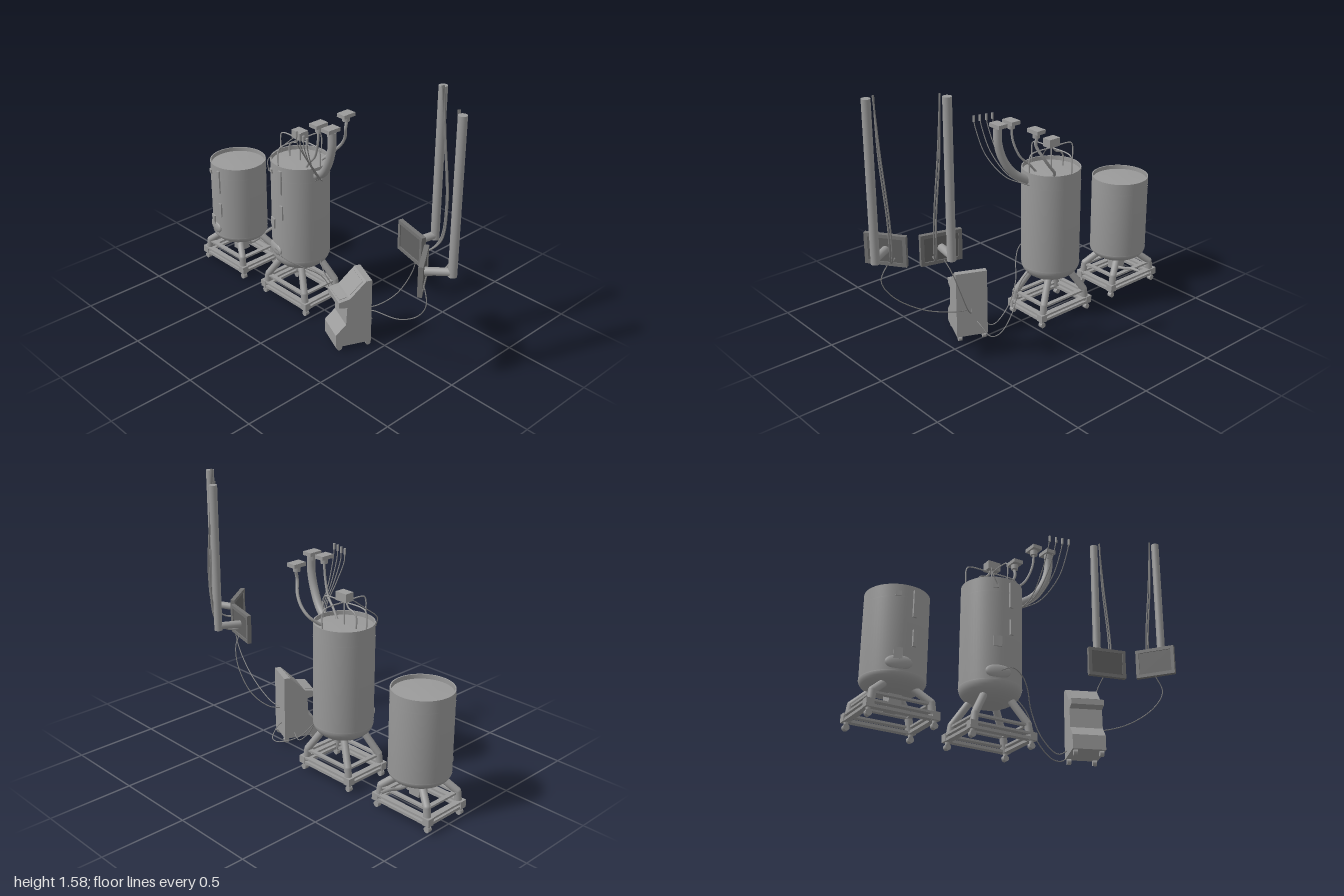
import * as THREE from 'three';
import { toCreasedNormals } from 'three/addons/utils/BufferGeometryUtils.js';

const paint = (color) => new THREE.MeshStandardMaterial({ color, side: THREE.DoubleSide });
const steel = paint(0x9a9a9a), bezelGrey = paint(0x727272), screenGrey = paint(0x606060), cableGrey = paint(0x808080);
const V = (p) => new THREE.Vector3(...p);

function add(parent, name, geometry, pos = [0, 0, 0], rotY = 0, material = steel) {
  const mesh = new THREE.Mesh(geometry, material);
  mesh.name = name;
  mesh.position.set(...pos);
  mesh.rotation.y = rotY;
  parent.add(mesh);
  return mesh;
}
const box = (parent, name, size, pos, rotY, material) =>
  add(parent, name, new THREE.BoxGeometry(...size), pos, rotY, material);
const cyl = (parent, name, r, h, pos) => add(parent, name, new THREE.CylinderGeometry(r, r, h, 24), pos);
function tube(parent, name, r, points, material = steel) {
  const curve = new THREE.CatmullRomCurve3(points.map(V), false, 'centripetal');
  return add(parent, name, new THREE.TubeGeometry(curve, 50, r, r > 0.01 ? 20 : 8), [0, 0, 0], 0, material);
}
// straight bars with rounded joints through a list of points
function kinkedBar(parent, name, r, points) {
  const g = group(parent, name, [0, 0, 0]);
  for (let i = 1; i < points.length; i++) {
    add(g, 'barSection', new THREE.TubeGeometry(new THREE.LineCurve3(V(points[i - 1]), V(points[i])), 1, r, 20));
    add(g, 'barJoint', new THREE.SphereGeometry(r, 20, 12), points[i]);
  }
}
function group(parent, name, pos, rotY = 0) {
  const g = new THREE.Group();
  g.name = name;
  g.position.set(...pos);
  g.rotation.y = rotY;
  parent.add(g);
  return g;
}

// vessel on a castor frame; bottom = lowest point of the dished end
function tank(root, name, z, bottom, shoulder, band, top) {
  const g = group(root, name, [0.012, 0, z]);
  const R = 0.172;
  const profile = [];
  for (let i = 0; i <= 12; i++) {
    const a = (i / 12) * Math.PI / 2;
    profile.push(new THREE.Vector2(R * Math.sin(a), shoulder - (shoulder - bottom) * Math.cos(a)));
  }
  [[R, top], [R - 0.007, top], [R - 0.007, top - 0.025], [0.08, top - 0.02], [0, top - 0.018]]
    .forEach(([r, y]) => profile.push(new THREE.Vector2(r, y)));
  add(g, 'vessel', toCreasedNormals(new THREE.LatheGeometry(profile, 64), 0.6));
  for (const y of [band, shoulder]) {
    add(g, 'seamBand', new THREE.CylinderGeometry(R + 0.0015, R + 0.0015, 0.005, 64, 1, true), [0, y, 0]);
  }

  // frame: paired lower rails, flat upper rails, kinked legs, corner blocks, castors
  const drop = shoulder - 0.335;
  for (const s of [-1, 1]) {
    for (const [y, h] of [[0.081, 0.012], [0.053, 0.016]]) {
      box(g, 'lowerSideRail', [0.034, h, 0.39], [s * 0.134, y, 0]);
      box(g, 'lowerEndRail', [0.236, h, 0.034], [0, y, s * 0.181]);
    }
    box(g, 'upperSideRail', [0.026, 0.012, 0.34], [s * 0.122, 0.13, 0]);
    box(g, 'upperEndRail', [0.22, 0.012, 0.026], [0, 0.13, s * 0.157]);
    for (const t of [-1, 1]) {
      kinkedBar(g, 'leg', 0.021, [[s * 0.127, 0.06, t * 0.172], [s * 0.124, 0.138, t * 0.162],
        [s * 0.075, 0.27 + drop * 0.75, t * 0.083], [s * 0.068, 0.31 + drop, t * 0.074]]);
      box(g, 'cornerBlock', [0.042, 0.044, 0.042], [s * 0.132, 0.066, t * 0.181]);
      cyl(g, 'castorStem', 0.012, 0.03, [s * 0.13, 0.036, t * 0.18]);
      const wheel = cyl(g, 'castorWheel', 0.017, 0.026, [s * 0.13, 0.017, t * 0.18]);
      wheel.rotation.z = Math.PI / 2;
    }
  }

  // fittings on the right side: a is the angle away from -x towards +z
  const fit = (part, a, y, h, w, d) =>
    box(g, part, [d, h, w], [-Math.cos(a) * R, y, Math.sin(a) * R], a);
  const low = top - 0.935;
  fit('sightGlass', 0.12, 0.835 + low, 0.15, 0.022, 0.022);
  fit('lowerGauge', 0.15, 0.645 + low, 0.09, 0.022, 0.022);
  fit('controlPlate', -0.32, 0.55 + low, 0.06, 0.045, 0.016);
  fit('samplePort', -0.4, 0.88 + low, 0.025, 0.03, 0.016);
  const a = -0.28;
  const hatch = add(g, 'hatch', new THREE.SphereGeometry(1, 32, 16),
    [-R * 0.95 * Math.cos(a), shoulder + 0.045, R * 0.95 * Math.sin(a)], a);
  hatch.scale.set(0.018, 0.04, 0.07);
  return g;
}

// screen hanging from a ceiling pole; side = where its leads hang
function hangingScreen(root, name, pos, rotY, side) {
  const g = group(root, name, pos, rotY);
  const [w, h] = [0.235, 0.177];
  box(g, 'screenPanel', [w - 0.02, h - 0.02, 0.014], [0, 0, 0], 0, screenGrey);
  for (const s of [-1, 1]) {
    box(g, 'bezelSide', [0.02, h, 0.026], [s * (w / 2 - 0.01), 0, 0], 0, bezelGrey);
    box(g, 'bezelEdge', [w - 0.04, 0.02, 0.026], [0, s * (h / 2 - 0.01), 0], 0, bezelGrey);
  }
  kinkedBar(g, 'arm', 0.022, [[0, 0, 0.005], [0, 0.012, 0.15]]);
  cyl(g, 'pole', 0.0242, 0.885, [0, 0.43, 0.15]);
  for (const k of [0, 1]) {
    tube(g, 'poleCable', 0.005, [[side * 0.03, 0.885, 0.125 + k * 0.008], [side * (0.045 + k * 0.01), 0.6, 0.145],
      [side * (0.08 + k * 0.012), 0.23, 0.155], [side * (0.075 + k * 0.012), 0.02, 0.13],
      [side * 0.055, -0.04, 0.07], [side * (0.03 + k * 0.02), -0.045, 0.005]], cableGrey);
  }
}

export function createModel() {
  const root = new THREE.Group();
  root.name = 'processPlant';

  const main = tank(root, 'tallTank', -0.217, 0.235, 0.335, 0.85, 0.935);
  const second = tank(root, 'shortTank', -0.795, 0.18, 0.255, 0.66, 0.73);

  // outlet under the short tank
  box(second, 'outletBlock', [0.07, 0.09, 0.07], [0, 0.145, 0.005]);
  tube(second, 'outletPipe', 0.009, [[0.02, 0.2, 0.055], [0.03, 0.145, 0.055], [0.1, 0.148, 0.055],
    [0.17, 0.17, 0.055], [0.243, 0.18, 0.055]]);

  // arched pipes and junction box over the tall tank
  for (let i = 0; i < 4; i++) {
    const pipe = tube(main, 'archedPipe', 0.004, [[0.166, 0.9, 0], [0.168, 0.95, 0], [0.168, 1.01, 0],
      [0.158, 1.036, 0], [0.13, 1.046, 0], [0, 1.046, 0]]);
    pipe.rotation.y = i * Math.PI / 2;
  }
  box(main, 'junctionBox', [0.058, 0.05, 0.078], [0, 1.08, 0]);
  tube(main, 'centrePipe', 0.004, [[0, 0.91, 0], [0, 1.06, 0]]);
  tube(main, 'lidPipe', 0.005, [[0, 1.06, -0.01], [0, 1.02, -0.03], [0, 1.005, -0.07], [0, 0.98, -0.09], [0, 0.91, -0.09]]);
  tube(main, 'lidCable', 0.003, [[-0.03, 1.06, -0.02], [-0.1, 1.0, -0.06], [-0.165, 0.94, -0.09], [-0.178, 0.88, -0.07]], cableGrey);

  // ceiling terminals with their pipes
  for (const [x, z] of [[-0.062, 0.02], [-0.062, 0.115], [0.145, 0.02]]) {
    box(root, 'ceilingPlate', [0.085, 0.022, 0.06], [x, 1.234, z]);
    cyl(root, 'ceilingNeck', 0.021, 0.03, [x, 1.21, z]);
  }
  tube(root, 'mainDuct', 0.024, [[-0.06, 1.22, 0.122], [-0.058, 1.13, 0.12], [-0.052, 1.03, 0.09],
    [-0.035, 0.94, 0.03], [-0.01, 0.88, -0.06]]);
  tube(root, 'branchPipe', 0.007, [[-0.062, 1.21, 0.02], [-0.06, 1.12, 0.01], [-0.045, 1.02, -0.03],
    [-0.03, 0.96, -0.09], [-0.02, 0.91, -0.13]]);
  tube(root, 'feedPipe', 0.009, [[0.152, 1.2, 0.02], [0.142, 1.15, 0.02], [0.168, 1.08, -0.01],
    [0.178, 1.02, -0.05], [0.165, 0.965, -0.1], [0.11, 0.915, -0.14]]);

  // four plugged sensor cables
  for (let i = 0; i < 4; i++) {
    const x = -0.225 - i * 0.009, z = 0.02 + i * 0.038;
    cyl(root, 'cablePlug', 0.007, 0.035, [x, 1.228, z]);
    tube(root, 'sensorCable', 0.003, [[x, 1.22, z], [x + 0.01, 1.17, z - 0.005], [x + 0.07, 1.06 - i * 0.012, z * 0.8],
      [-0.07, 0.94 - i * 0.01, z * 0.4], [-0.03 + i * 0.012, 0.865, -0.035], [-0.02 + i * 0.015, 0.85, -0.06]], cableGrey);
  }

  hangingScreen(root, 'rearScreen', [0.058, 0.698, 0.617], 1.3, -1);
  hangingScreen(root, 'frontScreen', [-0.11, 0.698, 0.852], 0.6, 1);

  // operator console, extruded from its side profile
  const desk = group(root, 'console', [-0.114, 0, 0.315], Math.PI - 0.41);
  const outline = [[0, 0.03], [0.213, 0.03], [0.213, 0.11], [0.152, 0.17], [0.146, 0.28], [0.195, 0.29],
    [0.195, 0.322], [0.13, 0.335], [0.035, 0.43], [0, 0.43]];
  const shape = new THREE.Shape(outline.map(([u, y]) => new THREE.Vector2(u - 0.1065, y)));
  add(desk, 'cabinet', new THREE.ExtrudeGeometry(shape, { depth: 0.182, bevelEnabled: false }), [0, 0, -0.091]);
  const display = box(desk, 'display', [0.1, 0.005, 0.135], [-0.024, 0.3825, 0]);
  display.rotation.z = -0.785;
  const keys = box(desk, 'keyboard', [0.045, 0.005, 0.13], [0.056, 0.329, 0]);
  keys.rotation.z = -0.2;
  for (const u of [-0.093, 0.08]) for (const z of [-0.072, 0.072]) {
    const wheel = cyl(desk, 'castor', 0.016, 0.022, [u, 0.016, z]);
    wheel.rotation.x = Math.PI / 2;
  }

  // loose cables between screens, console and tank
  const loose = [
    [[-0.1, 0.62, 0.85], [-0.115, 0.52, 0.89], [-0.1, 0.41, 0.83], [-0.06, 0.28, 0.65], [-0.02, 0.21, 0.43], [-0.03, 0.2, 0.38]],
    [[0.08, 0.63, 0.615], [0.12, 0.57, 0.6], [0.135, 0.45, 0.56], [0.1, 0.29, 0.48], [0.03, 0.21, 0.4], [-0.02, 0.2, 0.36]],
    [[0.01, 0.32, -0.05], [0.0, 0.25, 0.01], [0.05, 0.12, 0.11], [0.1, 0.05, 0.25], [0.09, 0.05, 0.31], [0.03, 0.1, 0.33], [-0.02, 0.12, 0.33]],
    [[-0.16, 0.38, -0.26], [-0.19, 0.4, -0.2], [-0.185, 0.37, -0.14], [-0.13, 0.33, -0.07], [-0.03, 0.25, 0.02],
      [-0.01, 0.12, 0.1], [-0.02, 0.04, 0.2], [-0.04, 0.07, 0.26]],
  ];
  loose.forEach((points) => tube(root, 'looseCable', 0.003, points, cableGrey));

  return root;
}
